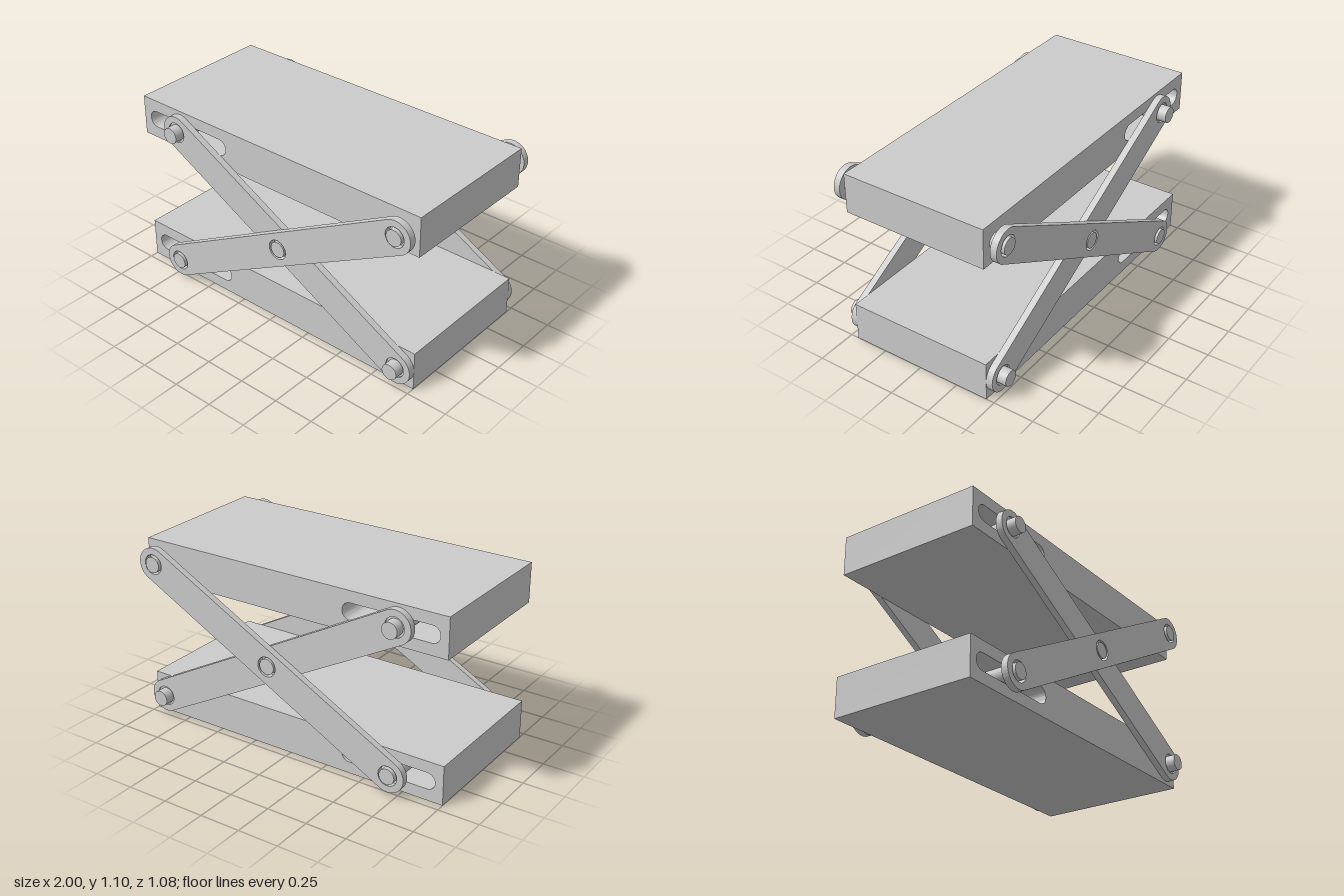
import * as THREE from 'three';
import { toCreasedNormals } from 'three/addons/utils/BufferGeometryUtils.js';

const material = new THREE.MeshStandardMaterial({ color: 0xcccccc });

const DECK = { width: 2, height: 0.24, depth: 0.9 };
const LOW = 0.12, HIGH = 0.98;        // heights of the pin axes
const SLIDE_X = -0.7, HINGE_X = 0.9;  // sliding and fixed pins
const ARM_R = 0.1, ARM_T = 0.04, HOLE_R = 0.06, PIN_R = 0.048;
const INNER_Z = 0.45, OUTER_Z = 0.49; // inner faces of the two arm layers

// Traces a horizontal capsule between two end centres
function capsule(path, x0, x1, r) {
  path.moveTo(x0, -r);
  path.lineTo(x1, -r);
  path.absarc(x1, 0, r, -Math.PI / 2, Math.PI / 2, false);
  path.lineTo(x0, r);
  path.absarc(x0, 0, r, Math.PI / 2, Math.PI * 1.5, false);
  return path;
}

function circle(x, r) {
  return new THREE.Path().absarc(x, 0, r, 0, Math.PI * 2, true);
}

// Extrudes a shape along z, centred on its own middle
function extrude(shape, depth) {
  const geometry = new THREE.ExtrudeGeometry(shape, { depth, bevelEnabled: false, curveSegments: 24 });
  geometry.translate(0, 0, -depth / 2);
  return toCreasedNormals(geometry, Math.PI / 6);
}

function add(parent, name, geometry, x, y, z) {
  const mesh = new THREE.Mesh(geometry, material);
  mesh.name = name;
  mesh.position.set(x, y, z);
  parent.add(mesh);
  return mesh;
}

// Round pin between two z positions
function pin(parent, name, x, y, z0, z1, r = PIN_R) {
  const geometry = new THREE.CylinderGeometry(r, r, z1 - z0, 40).rotateX(Math.PI / 2);
  return add(parent, name, geometry, x, y, (z0 + z1) / 2);
}

// Deck with a through slot for the sliding pin
function deckGeometry() {
  const w = DECK.width / 2, h = DECK.height / 2;
  const shape = new THREE.Shape([[-w, -h], [w, -h], [w, h], [-w, h]].map(p => new THREE.Vector2(...p)));
  shape.holes.push(capsule(new THREE.Path(), -0.9, -0.4, 0.05));
  return extrude(shape, DECK.depth);
}

// Round-ended link with pin holes
function armGeometry(length, holes) {
  const shape = capsule(new THREE.Shape(), -length / 2, length / 2, ARM_R);
  holes.forEach(x => shape.holes.push(circle(x, HOLE_R)));
  return extrude(shape, ARM_T);
}

export function createModel() {
  const model = new THREE.Group();
  model.name = 'scissorLift';

  // Base and raised deck
  const deck = deckGeometry();
  add(model, 'baseDeck', deck, 0, LOW, 0);
  add(model, 'topDeck', deck, 0, HIGH, 0);

  // Crossed arms on the front and back
  const run = HINGE_X - SLIDE_X, rise = HIGH - LOW;
  const length = Math.hypot(run, rise), angle = Math.atan2(rise, run);
  const midX = (SLIDE_X + HINGE_X) / 2, midY = (LOW + HIGH) / 2;
  const ends = [-length / 2, length / 2];
  const outer = armGeometry(length, [...ends, 0]);
  const inner = armGeometry(length, ends);

  for (const [label, s] of [['front', 1], ['back', -1]]) {
    const side = new THREE.Group();
    side.name = label + 'Scissor';
    model.add(side);
    const span = (name, x, y, a, b, r) => pin(side, name, x, y, Math.min(s * a, s * b), Math.max(s * a, s * b), r);

    add(side, 'outerArm', outer, midX, midY, s * (OUTER_Z + ARM_T / 2)).rotation.z = angle;
    add(side, 'innerArm', inner, midX, midY, s * (INNER_Z + ARM_T / 2)).rotation.z = -angle;

    // Pivot at the crossing, and collars seated in the inner arm's holes
    span('centrePivot', midX, midY, 0.47, 0.53);
    span('slidingCollar', SLIDE_X, HIGH, 0.451, 0.48, HOLE_R);
    span('hingeCollar', HINGE_X, LOW, 0.451, 0.48, HOLE_R);

    // Fixed hinge pins
    span('lowerHingePin', HINGE_X, LOW, 0.4, 0.54);
    span('upperHingePin', HINGE_X, HIGH, 0.4, 0.54);
  }

  // Sliding rods running through the slots
  pin(model, 'lowerSlidingRod', SLIDE_X, LOW, -0.54, 0.54);
  pin(model, 'upperSlidingRod', SLIDE_X, HIGH, -0.54, 0.54);
  return model;
}
